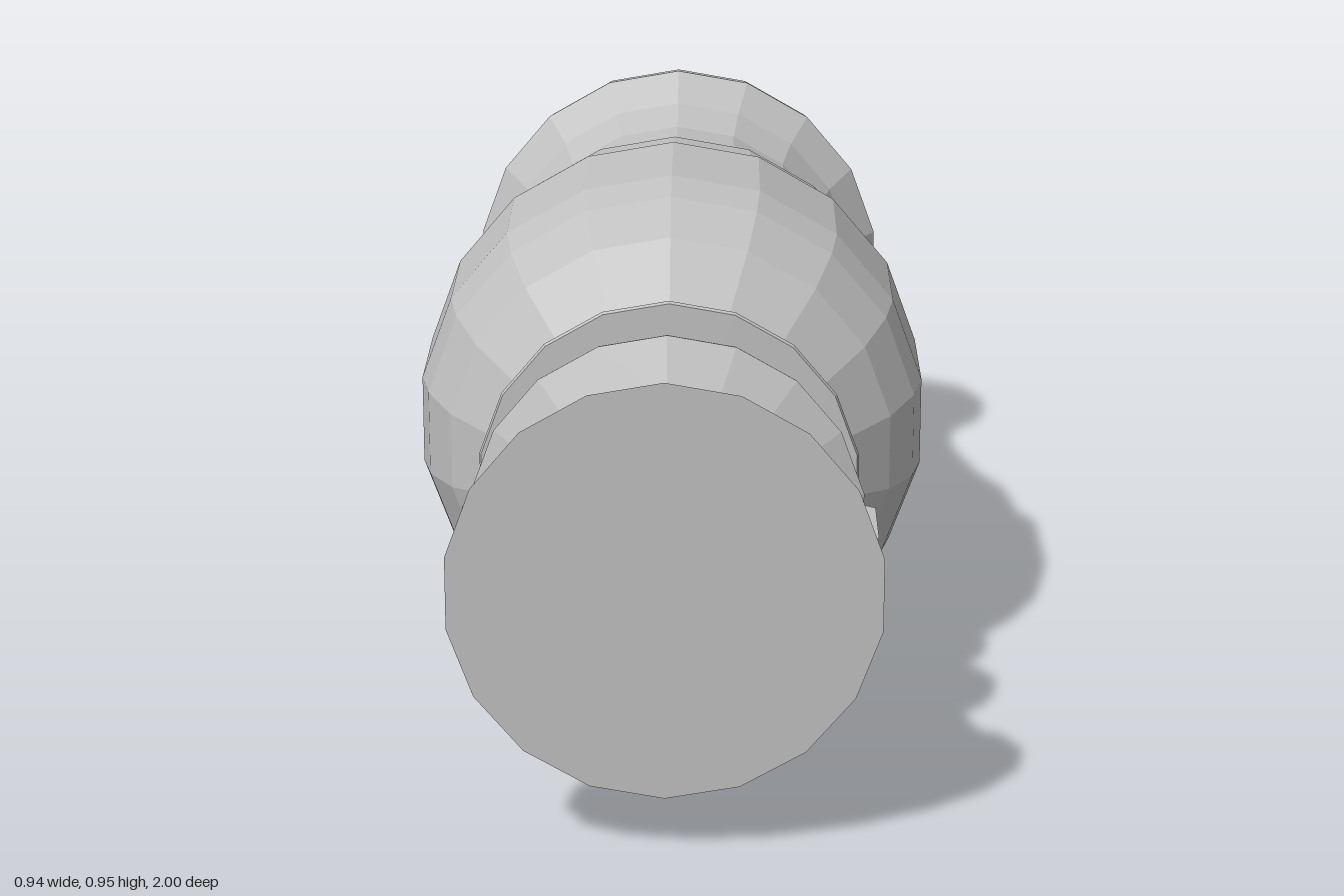
import * as THREE from 'three';

const SIDES = 18;
const AXIS_Y = 0.475;

export function createModel() {
  const group = new THREE.Group();
  const stone = new THREE.MeshStandardMaterial({ color: 0xc0c0c0, flatShading: true });
  stone.name = 'grey clay';
  const sheet = new THREE.MeshStandardMaterial({ color: 0xc0c0c0, side: THREE.DoubleSide });
  sheet.name = 'grey clay sheet';

  // Turned part lying along z; profile is [z, radius] from back to front
  function turned(name, profile) {
    const points = profile.map(([z, r]) => new THREE.Vector2(r, z));
    const mesh = new THREE.Mesh(new THREE.LatheGeometry(points, SIDES), stone);
    mesh.rotation.x = Math.PI / 2;
    mesh.position.y = AXIS_Y;
    mesh.name = name;
    group.add(mesh);
  }

  // Closed base, waist and full belly
  turned('body', [
    [-1, 0], [-1, 0.415], [-0.935, 0.427], [-0.87, 0.372], [-0.785, 0.343],
    [-0.655, 0.343], [-0.455, 0.39], [-0.37, 0.427], [-0.205, 0.446],
    [-0.14, 0.475], [0.107, 0.475], [0.19, 0.457], [0.29, 0.408], [0.385, 0.313],
  ]);

  // Collar where the belly meets the neck
  turned('collar', [[0.385, 0.313], [0.435, 0.315], [0.467, 0.343], [0.475, 0.34], [0.478, 0.253]]);

  turned('neck', [[0.478, 0.253], [0.525, 0.243], [0.665, 0.243]]);

  // Sharp flange in front of the neck
  turned('flange', [[0.665, 0.243], [0.667, 0.343], [0.675, 0.345], [0.722, 0.248]]);

  // Flared mouth, closed at the front
  turned('mouth', [
    [0.722, 0.248], [0.765, 0.27], [0.94, 0.312], [0.98, 0.332], [1, 0.367], [1, 0],
  ]);

  // Flat looped handle on each side, drawn in x and z
  const outline = [[0.235, 0.475], [0.33, 0.475], [0.368, 0.5], [0.368, 0.652], [0.355, 0.665], [0.235, 0.665]];
  const opening = [[0.24, 0.51], [0.265, 0.482], [0.305, 0.482], [0.325, 0.515],
    [0.33, 0.61], [0.315, 0.65], [0.265, 0.65], [0.24, 0.62]];
  for (const side of [1, -1]) {
    const toPoints = (list) => list.map(([x, z]) => new THREE.Vector2(side * x, z));
    const shape = new THREE.Shape(toPoints(outline));
    shape.holes.push(new THREE.Path(toPoints(opening)));
    const handle = new THREE.Mesh(new THREE.ShapeGeometry(shape), sheet);
    handle.rotation.x = Math.PI / 2;
    handle.position.y = 0.445;
    handle.name = side > 0 ? 'leftHandle' : 'rightHandle';
    group.add(handle);
  }

  return group;
}
